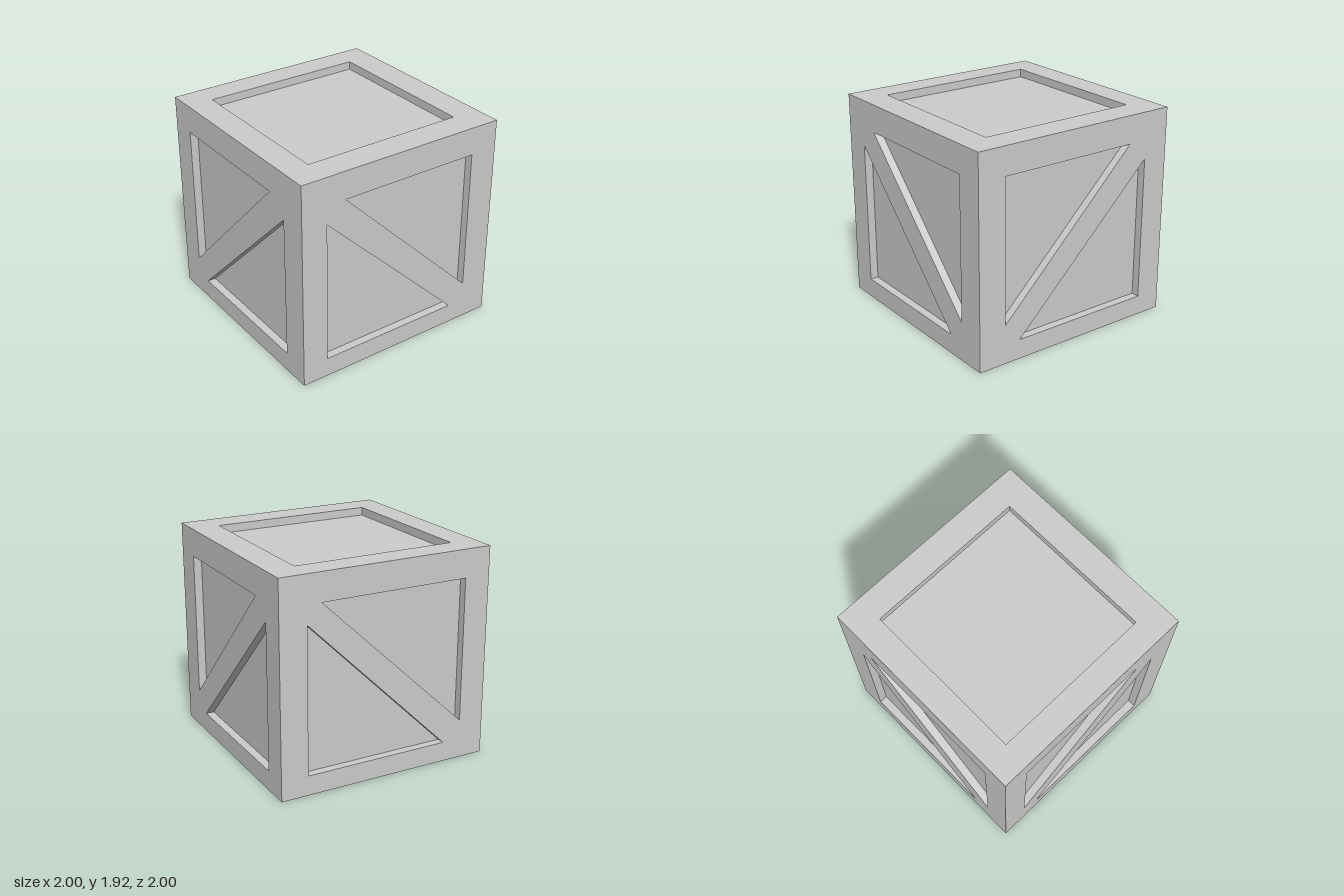
import * as THREE from 'three';
import { mergeGeometries } from 'three/addons/utils/BufferGeometryUtils.js';

const HEIGHT = 1.925, DEPTH = 0.075;
const material = new THREE.MeshStandardMaterial({ color: 0xcccccc, flatShading: true });
const toShape = (pts) => new THREE.Shape(pts.map(([x, y]) => new THREE.Vector2(x, y)));

// Sunken tray: a floor plus inward-facing walls, outline counter-clockwise
function trayGeometry(pts) {
  const floor = new THREE.ShapeGeometry(toShape(pts)).translate(0, 0, -DEPTH).toNonIndexed();
  const walls = pts.map(([ax, ay], i) => {
    const [bx, by] = pts[(i + 1) % pts.length];
    const a = new THREE.Vector3(ax, ay, 0), b = new THREE.Vector3(bx, by, 0);
    const a1 = new THREE.Vector3(ax, ay, -DEPTH), b1 = new THREE.Vector3(bx, by, -DEPTH);
    return new THREE.BufferGeometry().setFromPoints([a, b, b1, a, b1, a1]);
  });
  floor.deleteAttribute('uv');
  floor.deleteAttribute('normal');
  const merged = mergeGeometries([floor, ...walls]);
  merged.computeVertexNormals();
  return merged;
}

// One crate face: flat frame with holes and a tray behind each hole
function panel(name, outline, recesses) {
  const group = new THREE.Group();
  group.name = name;
  const shape = toShape(outline);
  recesses.forEach((pts) => shape.holes.push(toShape(pts)));
  const frame = new THREE.Mesh(new THREE.ShapeGeometry(shape), material);
  frame.name = name + 'Frame';
  group.add(frame);
  recesses.forEach((pts, i) => {
    const tray = new THREE.Mesh(trayGeometry(pts), material);
    tray.name = name + 'Recess' + (i + 1);
    group.add(tray);
  });
  return group;
}

export function createModel() {
  const crate = new THREE.Group();
  crate.name = 'crate';
  const sideOutline = [[-1, 0], [1, 0], [1, HEIGHT], [-1, HEIGHT]];
  const square = [[-1, -1], [1, -1], [1, 1], [-1, 1]];

  // Two triangular recesses either side of a diagonal brace
  const rising = (l, tipR, tipL, r) => [
    [[l, 1.67], [l, 0.36], [tipR, 1.67]],
    [[tipL, 0.18], [r, 0.18], [r, 1.5]],
  ];
  const falling = (tipL, r, l, tipR) => [
    [[tipL, 1.67], [r, 0.36], [r, 1.67]],
    [[l, 1.5], [l, 0.18], [tipR, 0.18]],
  ];

  // Four sides, each turned about the vertical axis
  const sides = [
    ['frontSide', 0, rising(-0.76, 0.54, -0.61, 0.74)],
    ['leftSide', Math.PI / 2, falling(-0.58, 0.74, -0.76, 0.58)],
    ['backSide', Math.PI, rising(-0.74, 0.58, -0.59, 0.76)],
    ['rightSide', -Math.PI / 2, falling(-0.62, 0.76, -0.75, 0.59)],
  ];
  for (const [name, angle, recesses] of sides) {
    const side = panel(name, sideOutline, recesses);
    side.rotation.y = angle;
    side.position.set(Math.sin(angle), 0, Math.cos(angle));
    crate.add(side);
  }

  // Lid with one square recess
  const lid = panel('lid', square, [[[-0.76, -0.76], [0.74, -0.76], [0.74, 0.74], [-0.76, 0.74]]]);
  lid.rotation.x = -Math.PI / 2;
  lid.position.y = HEIGHT;
  crate.add(lid);

  // Plain base
  const base = panel('base', square, []);
  base.rotation.x = Math.PI / 2;
  crate.add(base);
  return crate;
}
